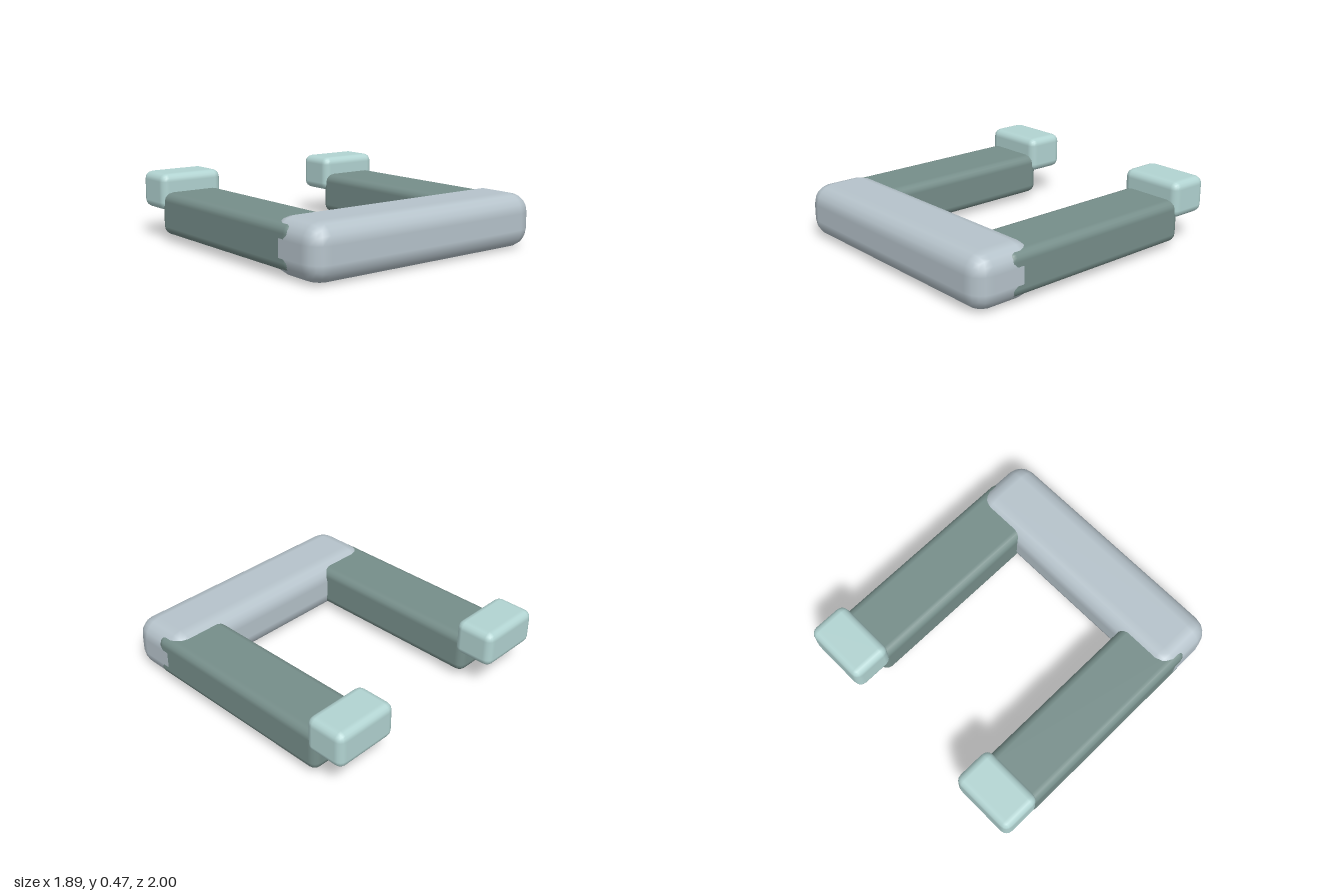
import * as THREE from 'three';
import { RoundedBoxGeometry } from 'three/addons/geometries/RoundedBoxGeometry.js';

function material(name, color) {
  const m = new THREE.MeshStandardMaterial({ color });
  m.name = name;
  return m;
}

// Rounded block given by its lower and upper corners
function block(name, min, max, radius, mat) {
  const size = max.map((v, i) => v - min[i]);
  const mesh = new THREE.Mesh(new RoundedBoxGeometry(...size, 2, radius), mat);
  mesh.position.set(...max.map((v, i) => (v + min[i]) / 2));
  mesh.name = name;
  return mesh;
}

export function createModel() {
  const group = new THREE.Group();
  group.name = 'uFrame';
  const paleGrey = material('pale blue grey', 0xb6c3cb);
  const slate = material('slate green', 0x768e8a);
  const mint = material('pale mint', 0xb2d4d2);

  // Front crossbar
  group.add(block('crossbar', [-0.932, 0, 0.515], [0.932, 0.372, 1], 0.13, paleGrey));

  // Mirrored arms with end pads
  for (const [side, s] of [['left', 1], ['right', -1]]) {
    const arm = block(side + 'Arm', [0.488, 0.042, -0.77], [0.931, 0.338, 0.75], 0.06, slate);
    const pad = block(side + 'Pad', [0.472, 0.21, -1], [0.946, 0.466, -0.705], 0.055, mint);
    for (const part of [arm, pad]) {
      part.position.x *= s;
      group.add(part);
    }
  }
  return group;
}
